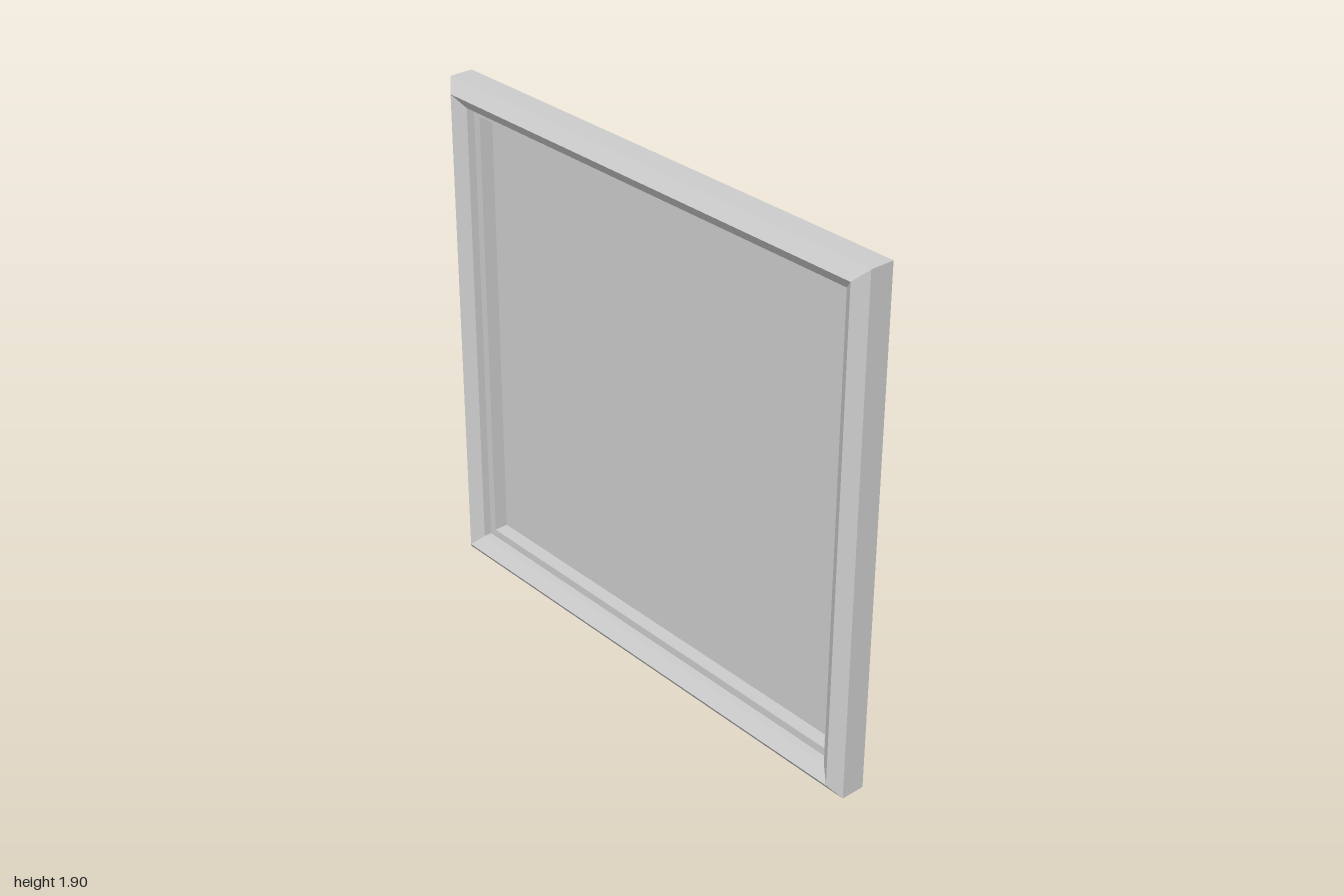
import * as THREE from 'three';

const W = 2, H = 1.905, BACK = -0.063;

// Moulding cross-section, [inset from the outer edge, z], from the back edge round to the recess floor
const PROFILE = [
  [0, BACK], [0, 0.028], [0.045, 0.063], [0.09, 0.03],
  [0.09, 0], [0.12, 0], [0.12, -0.053],
];

// Sweeps a profile round a rectangle with mitred corners
function mitredFrame(profile) {
  const corners = [[-1, -1], [1, -1], [1, 1], [-1, 1]];
  const at = ([inset, z], i) => {
    const [sx, sy] = corners[i % 4];
    return [sx * (W / 2 - inset), sy * (H / 2 - inset), z];
  };
  const pos = [];
  for (let k = 0; k < profile.length - 1; k++) {
    for (let i = 0; i < 4; i++) {
      const a = at(profile[k], i), b = at(profile[k], i + 1);
      const c = at(profile[k + 1], i + 1), d = at(profile[k + 1], i);
      pos.push(...a, ...b, ...c, ...a, ...c, ...d);
    }
  }
  const geo = new THREE.BufferGeometry();
  geo.setAttribute('position', new THREE.Float32BufferAttribute(pos, 3));
  geo.computeVertexNormals();
  return geo;
}

export function createModel() {
  const group = new THREE.Group();
  group.name = 'pictureFrame';
  const material = new THREE.MeshStandardMaterial({ color: 0xcccccc, flatShading: true });

  const add = (name, geometry, z = 0) => {
    const mesh = new THREE.Mesh(geometry, material);
    mesh.name = name;
    mesh.position.set(0, H / 2, z);
    group.add(mesh);
    return mesh;
  };

  // Bevelled moulding with its stepped inner ledge
  add('moulding', mitredFrame(PROFILE));

  // Recessed panel inside the moulding
  const [inset, floor] = PROFILE[PROFILE.length - 1];
  add('recessedPanel', new THREE.PlaneGeometry(W - 2 * inset, H - 2 * inset), floor);

  // Flat back closing the whole frame
  add('backPanel', new THREE.PlaneGeometry(W, H), BACK).rotation.y = Math.PI;

  return group;
}
